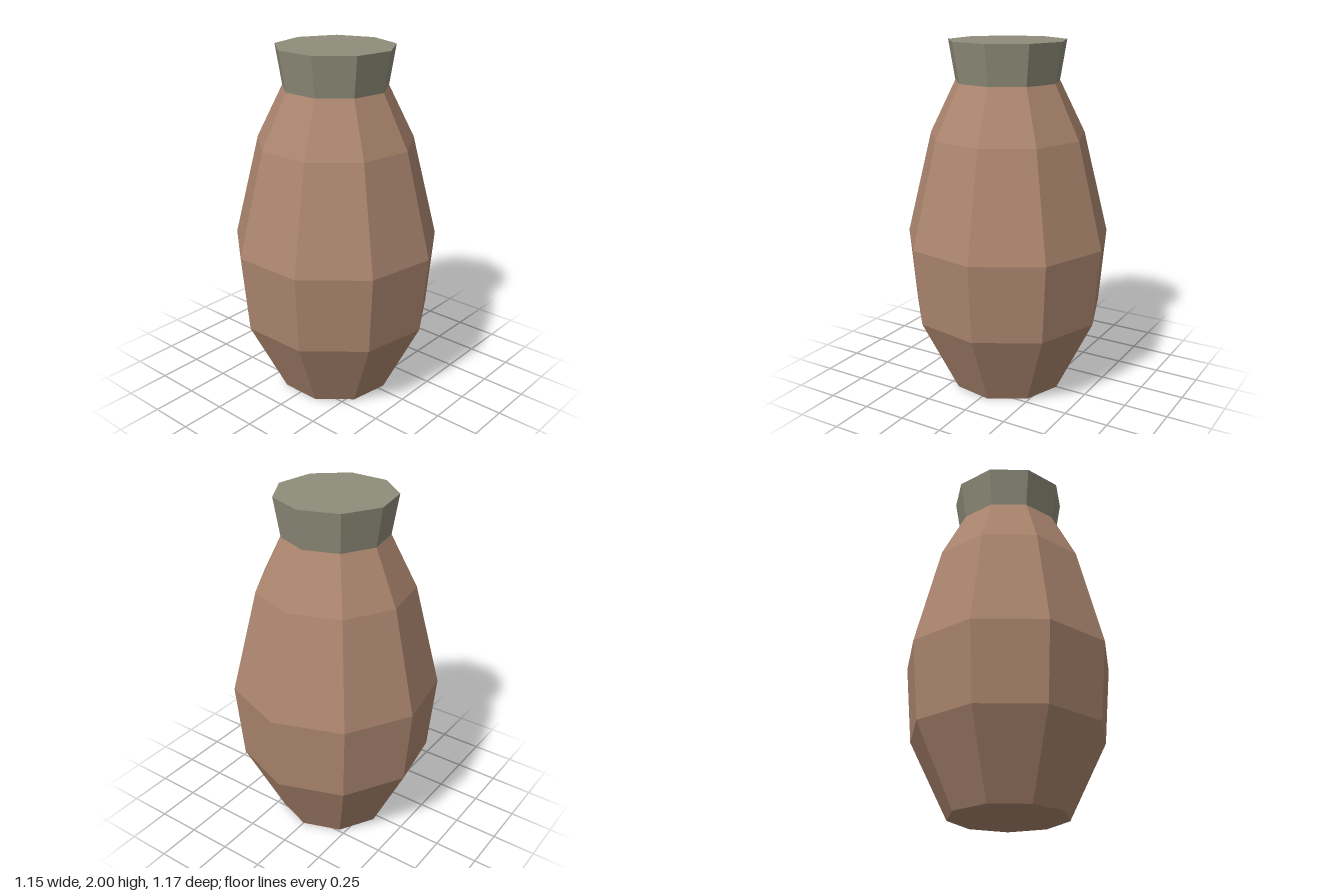
import * as THREE from 'three';

const SIDES = 9;

// Nine-sided turned solid with one corner pointing to +x
function turned(name, profile, material) {
  const points = profile.map(([r, y]) => new THREE.Vector2(r, y));
  const geometry = new THREE.LatheGeometry(points, SIDES, Math.PI / 2);
  const mesh = new THREE.Mesh(geometry, material);
  mesh.name = name;
  return mesh;
}

export function createModel() {
  const clay = new THREE.MeshStandardMaterial({ color: 0xac866f, flatShading: true });
  clay.name = 'clay brown';
  const stone = new THREE.MeshStandardMaterial({ color: 0x8f8d7a, flatShading: true });
  stone.name = 'stone grey';

  const model = new THREE.Group();
  model.name = 'jar';

  // Body: closed base, swelling belly, tapering shoulder
  model.add(turned('body', [
    [0, 0], [0.333, 0], [0.553, 0.444], [0.593, 0.889], [0.444, 1.481], [0.296, 1.778],
  ], clay));

  // Stopper: flares outward to a flat top
  model.add(turned('stopper', [
    [0.296, 1.778], [0.333, 2], [0, 2],
  ], stone));

  // An odd number of sides needs a small shift to sit centred on x
  for (const part of model.children) part.position.x = -0.018;
  return model;
}
